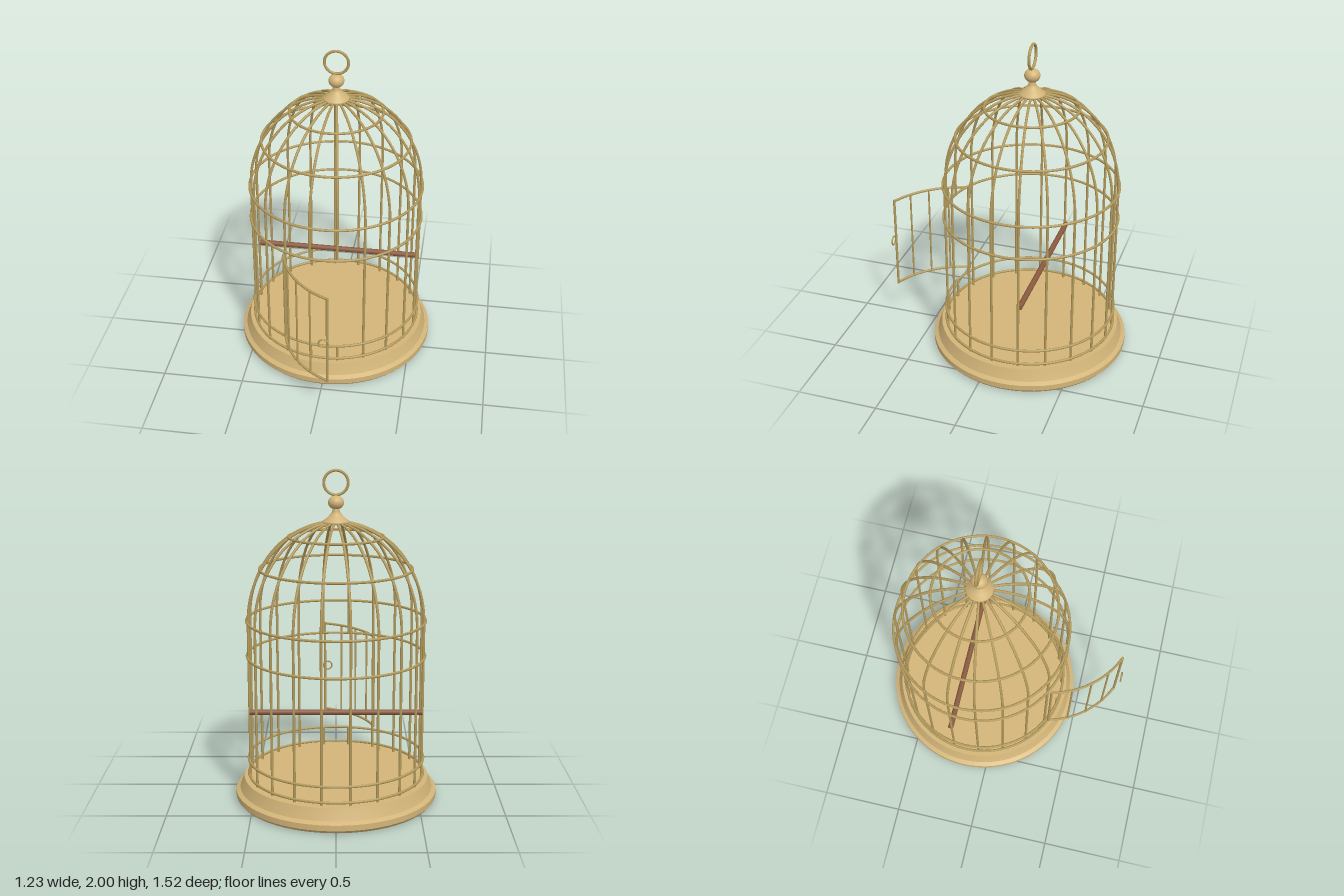
import * as THREE from 'three';

const brass = new THREE.MeshStandardMaterial({ name: 'paleBrass', color: 0xd2b478 });
const wire = new THREE.MeshStandardMaterial({ name: 'wireBrass', color: 0xb39a5c });
const wood = new THREE.MeshStandardMaterial({ name: 'perchWood', color: 0x8a5a40 });

const R = 0.525;          // cage radius
const SPRING = 1.107;     // height where the dome starts
const RISE = 0.583;       // dome height
const BAR = 0.008;        // wire radius
const V = (x, y, z) => new THREE.Vector3(x, y, z);

function add(parent, name, geometry, material, x = 0, y = 0, z = 0) {
  const mesh = new THREE.Mesh(geometry, material);
  mesh.name = name;
  mesh.position.set(x, y, z);
  parent.add(mesh);
  return mesh;
}

const lathe = (pts, n = 64) => new THREE.LatheGeometry(pts.map(p => new THREE.Vector2(...p)), n);

function tube(points, segments, radius = BAR) {
  return new THREE.TubeGeometry(new THREE.CatmullRomCurve3(points), segments, radius, 8);
}

function hoop(parent, name, radius, y) {
  add(parent, name, new THREE.TorusGeometry(radius, BAR, 8, 80), wire, 0, y, 0).rotation.x = Math.PI / 2;
}

function rod(parent, name, x, z, y0, y1, radius = BAR) {
  add(parent, name, new THREE.CylinderGeometry(radius, radius, y1 - y0, 8), wire, x, (y0 + y1) / 2, z);
}

// Base tray, built from straight-sided bands so the rims stay crisp
function buildBase(cage) {
  const bands = [
    [[0, 0], [0.598, 0]],
    [[0.598, 0], [0.613, 0.018]],
    [[0.613, 0.018], [0.613, 0.052]],
    [[0.613, 0.052], [0.588, 0.066]],
    [[0.588, 0.066], [0.575, 0.098], [0.562, 0.136]],
    [[0.562, 0.136], [0, 0.136]],
  ];
  const base = new THREE.Group();
  base.name = 'base';
  bands.forEach(b => add(base, 'baseBand', lathe(b, 72), brass));
  cage.add(base);
}

// Upright wires that bend over into the dome; two are cut for the doorway
function buildBars(cage) {
  const dome = [];
  for (let i = 0; i <= 12; i++) {
    const t = (i / 12) * 1.52;
    dome.push([R * Math.cos(t), SPRING + RISE * Math.sin(t)]);
  }
  for (let k = 0; k < 20; k++) {
    const a = THREE.MathUtils.degToRad(9 + 18 * k);
    const s = Math.sin(a), c = Math.cos(a);
    const inDoorway = k === 0 || k === 19;
    const straight = inDoorway ? [0.893, 1.0] : [0.13, 0.5, 0.9, 1.02];
    const profile = [...straight.map(y => [R, y]), ...dome];
    add(cage, 'bar', tube(profile.map(([r, y]) => V(r * s, y, r * c)), 44), wire);
    if (inDoorway) rod(cage, 'lowerBar', R * s, R * c, 0.13, 0.252);
  }
  for (const y of [0.156, 0.252, 0.893, SPRING]) hoop(cage, 'hoop', 0.533, y);
  hoop(cage, 'domeHoop', 0.452, 1.417);
  hoop(cage, 'domeHoop', 0.28, 1.605);
}

// Cap, ball and hanging ring
function buildFinial(cage) {
  add(cage, 'cap', lathe([[0, 1.678], [0.08, 1.684], [0.078, 1.697], [0.05, 1.718],
    [0.03, 1.74], [0.022, 1.752], [0.021, 1.78]], 32), brass);
  add(cage, 'ball', new THREE.SphereGeometry(0.047, 32, 20), brass, 0, 1.805, 0).scale.y = 0.87;
  add(cage, 'hangingRing', new THREE.TorusGeometry(0.071, 0.0085, 10, 48), wire, 0, 1.92, 0);
}

// Curved door, swung open about its hinge side
function buildDoor(root) {
  const door = new THREE.Group();
  door.name = 'door';
  door.position.set(-0.244, 0, 0.347);
  door.rotation.y = -THREE.MathUtils.degToRad(50);
  const half = THREE.MathUtils.degToRad(26.5), r = 0.555;
  const at = (f, y) => {
    const a = half * f;
    return V(r * (Math.sin(a) + Math.sin(half)), y, r * (Math.cos(a) - Math.cos(half)));
  };
  for (const y of [0.272, 0.873]) {
    const pts = [-1, -0.75, -0.5, -0.25, 0, 0.25, 0.5, 0.75, 1].map(f => at(f, y));
    add(door, 'doorRail', tube(pts, 24), wire);
  }
  for (const f of [-1, -0.5, 0, 0.5, 1]) {
    const p = at(f, 0);
    const edge = Math.abs(f) === 1;
    rod(door, edge ? 'doorStile' : 'doorBar', p.x, p.z, edge ? 0.264 : 0.272, edge ? 0.881 : 0.873, edge ? BAR : 0.006);
  }
  root.add(door);
  add(root, 'latchRing', new THREE.TorusGeometry(0.028, 0.005, 8, 28), wire, 0.056, 0.572, 0.752);
}

export function createModel() {
  const root = new THREE.Group();
  root.name = 'birdcage';
  const cage = new THREE.Group();
  cage.name = 'cage';
  cage.position.z = -0.147;
  root.add(cage);
  buildBase(cage);
  buildBars(cage);
  buildFinial(cage);
  // Perch across the cage, a little behind the middle
  add(cage, 'perch', new THREE.CylinderGeometry(0.017, 0.017, 1.035, 14), wood, 0, 0.556, -0.09).rotation.z = Math.PI / 2;
  buildDoor(root);
  return root;
}
